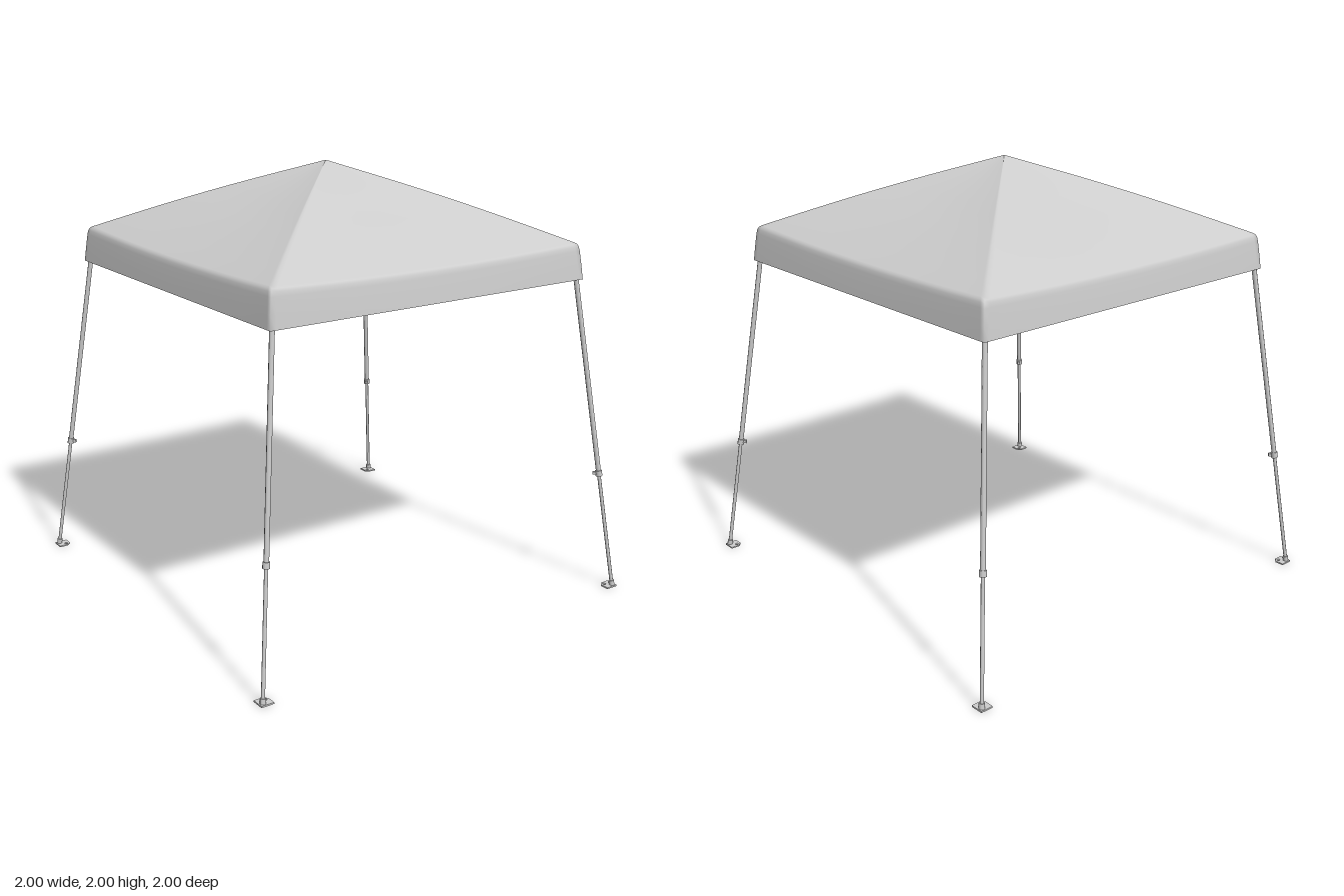
import * as THREE from 'three';

const fabric = new THREE.MeshStandardMaterial({ color: 0xcccccc, side: THREE.DoubleSide });
fabric.name = 'grey';

const V = (x, y, z) => new THREE.Vector3(x, y, z);

function add(parent, name, geometry) {
  const mesh = new THREE.Mesh(geometry, fabric);
  mesh.name = name;
  parent.add(mesh);
  return mesh;
}

// Straight tube between two points
function rod(parent, name, a, b, radius, sides = 8) {
  const mesh = add(parent, name, new THREE.CylinderGeometry(radius, radius, a.distanceTo(b), sides));
  mesh.position.copy(a).lerp(b, 0.5);
  mesh.quaternion.setFromUnitVectors(V(0, 1, 0), b.clone().sub(a).normalize());
  return mesh;
}

// Roof and valance cloth: square rings from the peak down to the hem
function canopyGeometry() {
  const rings = [[0.002, 2], [0.03, 1.989]];
  for (let i = 1; i <= 10; i++) {
    const t = i / 10;
    rings.push([0.8 * t, 2 - 0.342 * t + 0.012 * Math.sin(Math.PI * t)]);
  }
  rings.push([0.81, 1.651], [0.816, 1.64], [0.82, 1.62], [0.828, 1.55], [0.834, 1.49]);
  const along = [-1, -0.97, -0.88, -0.75, -0.5, -0.25, 0, 0.25, 0.5, 0.75, 0.88, 0.97];
  const positions = [], index = [], count = along.length * 4;

  rings.forEach(([r, y]) => {
    for (let side = 0; side < 4; side++) {
      for (const u of along) {
        // Cloth hangs a little between the ridges, but the hem is level
        const sag = 0.018 * (1 - u * u) * Math.min(1, r / 0.4) * THREE.MathUtils.clamp((y - 1.49) / 0.15, 0, 1);
        let x = u * r, z = r;
        for (let k = 0; k < side; k++) [x, z] = [z, -x];
        positions.push(x, y - sag, z);
      }
    }
  });
  for (let j = 0; j < rings.length - 1; j++) {
    for (let i = 0; i < count; i++) {
      const n = (i + 1) % count;
      const a = j * count + i, b = a + count, c = (j + 1) * count + n, d = j * count + n;
      index.push(a, b, c, a, c, d);
    }
  }
  const geometry = new THREE.BufferGeometry();
  geometry.setAttribute('position', new THREE.Float32BufferAttribute(positions, 3));
  geometry.setIndex(index);
  geometry.computeVertexNormals();
  return geometry;
}

// Splayed telescopic leg with its foot, collar, corner bracket and roof pole
function corner(sx, sz) {
  const group = new THREE.Group();
  group.name = 'cornerLeg';
  const at = (y) => { const d = 0.985 - 0.1155 * y; return V(sx * d, y, sz * d); };

  rod(group, 'lowerLeg', at(0.005), at(0.6), 0.0085);
  rod(group, 'upperLeg', at(0.57), at(1.63), 0.0115);
  rod(group, 'legCollar', at(0.555), at(0.582), 0.016);
  const button = add(group, 'collarButton', new THREE.BoxGeometry(0.014, 0.014, 0.022));
  button.position.copy(at(0.568)).add(V(-sx * 0.012, 0, -sz * 0.012));
  button.rotation.y = Math.PI / 4 * sx * sz;

  // Foot plate with a hole for a ground stake
  const plate = new THREE.Shape([[-0.03, -0.012], [-0.012, -0.03], [0.03, -0.03], [0.03, 0.03], [-0.03, 0.03]]
    .map(([x, y]) => new THREE.Vector2(x, y)));
  const hole = new THREE.Path();
  hole.absarc(-0.012, -0.01, 0.008, 0, Math.PI * 2, true);
  plate.holes.push(hole);
  const foot = add(group, 'footPlate', new THREE.ExtrudeGeometry(plate, { depth: 0.007, bevelEnabled: false, curveSegments: 6 }));
  foot.rotation.x = -Math.PI / 2;
  const turn = Math.atan2(-sz, sx) - Math.PI / 4;
  foot.rotation.z = turn;
  foot.position.set(sx * 0.97, 0, sz * 0.97);
  rod(group, 'footSocket', at(0.006), at(0.03), 0.013);

  // Brackets that hold the truss bars
  for (const y of [1.515, 1.61]) {
    const bracket = add(group, 'cornerBracket', new THREE.BoxGeometry(0.04, 0.03, 0.04));
    bracket.position.copy(at(y)).add(V(-sx * 0.008, 0, -sz * 0.008));
  }

  // Bowed pole under the roof ridge
  const curve = new THREE.QuadraticBezierCurve3(
    V(sx * 0.785, 1.625, sz * 0.785), V(sx * 0.4, 1.825, sz * 0.4), V(0, 1.965, 0));
  add(group, 'ridgePole', new THREE.TubeGeometry(curve, 14, 0.009, 6));
  return group;
}

// Folding scissor truss along one side
function truss() {
  const group = new THREE.Group();
  group.name = 'scissorTruss';
  for (const s of [-1, 1]) {
    rod(group, 'trussBar', V(s * 0.79, 1.515, 0.79), V(0, 1.61, 0.785), 0.008, 6);
    rod(group, 'trussBar', V(s * 0.79, 1.61, 0.775), V(0, 1.515, 0.77), 0.008, 6);
    rod(group, 'trussPivot', V(s * 0.395, 1.5625, 0.765), V(s * 0.395, 1.5625, 0.797), 0.012);
  }
  for (const y of [1.515, 1.61]) {
    const joint = add(group, 'trussJoint', new THREE.BoxGeometry(0.045, 0.024, 0.026));
    joint.position.set(0, y, 0.778);
  }
  return group;
}

export function createModel() {
  const model = new THREE.Group();
  model.name = 'canopyTent';
  add(model, 'canopy', canopyGeometry());
  for (const sx of [-1, 1]) for (const sz of [-1, 1]) model.add(corner(sx, sz));
  for (let i = 0; i < 4; i++) {
    const side = truss();
    side.rotation.y = i * Math.PI / 2;
    model.add(side);
  }
  // Hub where the ridge poles meet
  const hub = add(model, 'peakHub', new THREE.CylinderGeometry(0.015, 0.025, 0.03, 8));
  hub.position.y = 1.962;
  return model;
}
